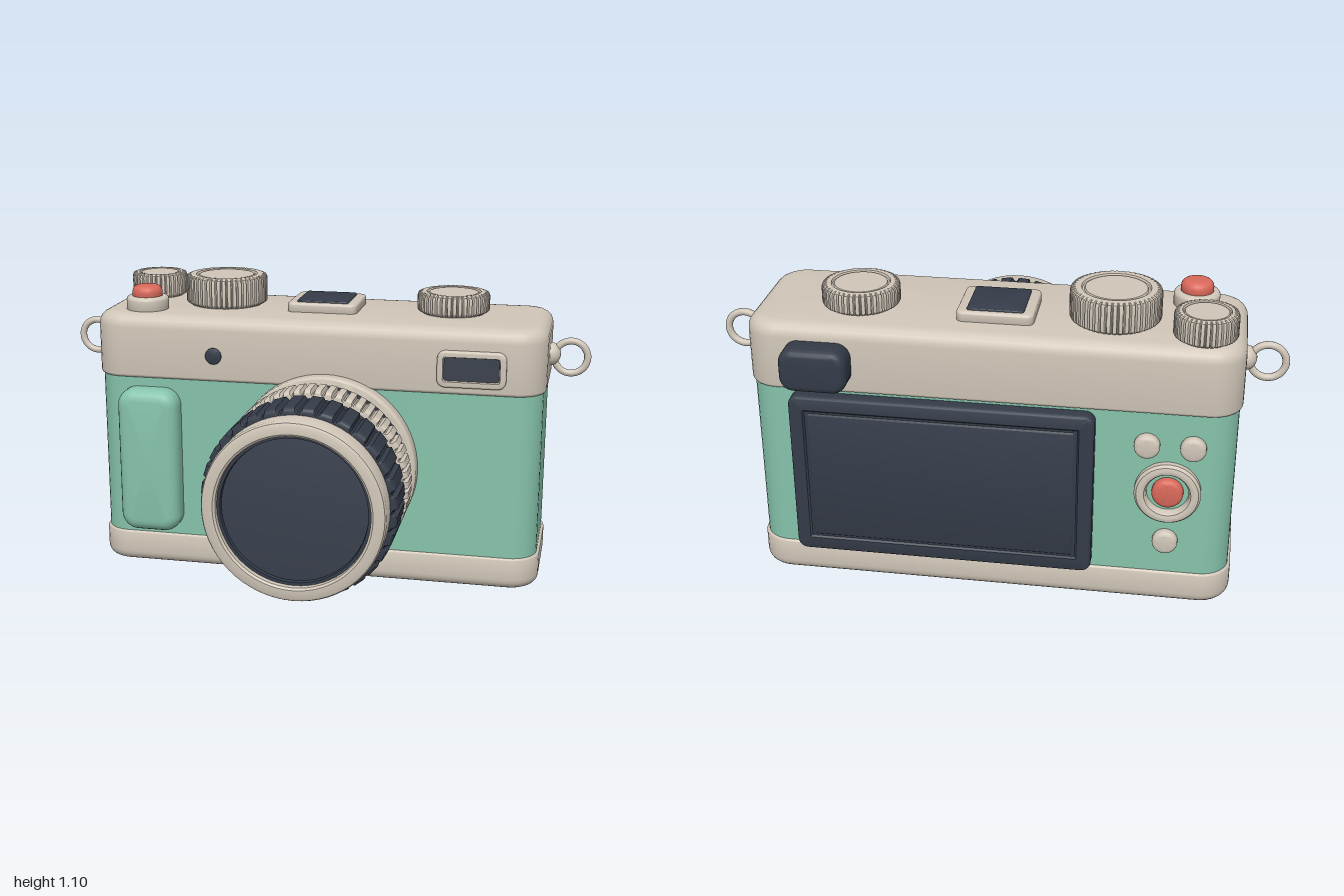
import * as THREE from 'three';
import { toCreasedNormals } from 'three/addons/utils/BufferGeometryUtils.js';

const material = (name, color) => {
  const m = new THREE.MeshStandardMaterial({ color });
  m.name = name;
  return m;
};

// Rounded rectangle outline, shrunk by inset
const roundedRect = (w, d, r) => (inset) => {
  const pts = [], rr = Math.max(r - inset, 0.004);
  const cx = w / 2 - inset - rr, cz = d / 2 - inset - rr;
  [[1, 1], [-1, 1], [-1, -1], [1, -1]].forEach(([sx, sz], q) => {
    for (let i = 0; i <= 8; i++) {
      const a = (q + i / 8) * Math.PI / 2;
      pts.push([sx * cx + rr * Math.cos(a), sz * cz + rr * Math.sin(a)]);
    }
  });
  return pts;
};

// Knurled circle outline; the grooves fade out away from the rim
const knurl = (r, n, depth) => (inset) => {
  const pts = [], dep = depth * Math.max(0, 1 - inset / 0.03);
  for (let i = 0; i < n; i++) {
    for (const [t, g] of [[0, 1], [0.12, 1], [0.26, 0], [0.86, 0]]) {
      const a = (i + t) / n * Math.PI * 2, q = r - inset - g * dep;
      pts.push([q * Math.cos(a), q * Math.sin(a)]);
    }
  }
  return pts;
};

// Stacks an outline along y following [inset, height] steps and caps both ends
function loft(outline, profile, crease = 0.6) {
  const pos = [], idx = [];
  const rings = profile.map(([inset]) => outline(inset));
  const n = rings[0].length;
  rings.forEach((ring, k) => ring.forEach(([x, z]) => pos.push(x, profile[k][1], z)));
  for (let k = 0; k < rings.length - 1; k++) {
    for (let j = 0; j < n; j++) {
      const a = k * n + j, b = k * n + (j + 1) % n;
      idx.push(a, a + n, b, a + n, b + n, b);
    }
  }
  const last = (rings.length - 1) * n, c0 = rings.length * n;
  pos.push(0, profile[0][1], 0, 0, profile[profile.length - 1][1], 0);
  for (let j = 0; j < n; j++) {
    const k = (j + 1) % n;
    idx.push(c0, j, k, c0 + 1, last + k, last + j);
  }
  const g = new THREE.BufferGeometry();
  g.setAttribute('position', new THREE.Float32BufferAttribute(pos, 3));
  g.setIndex(idx);
  return toCreasedNormals(g, crease);
}

// Profile with rounded lower (b0) and upper (b1) edges
function soft(h, b0, b1) {
  const p = [], steps = 5;
  for (let i = 0; i <= steps; i++) {
    const a = i / steps * Math.PI / 2;
    p.push([b0 * (1 - Math.sin(a)), b0 * (1 - Math.cos(a))]);
  }
  for (let i = 0; i <= steps; i++) {
    const a = i / steps * Math.PI / 2;
    p.push([b1 * (1 - Math.cos(a)), h - b1 * (1 - Math.sin(a))]);
  }
  return p;
}

const lathe = (pts, seg = 64) =>
  toCreasedNormals(new THREE.LatheGeometry(pts.map(([x, y]) => new THREE.Vector2(x, y)), seg), 0.6);

// Solid disc with rounded upper edge
const disc = (r, h, b) => lathe([[0, 0], ...soft(h, 0.002, b).map(([i, y]) => [r - i, y]), [0, h]]);

export function createModel() {
  const model = new THREE.Group();
  const silver = material('warm silver', 0xd0c6b8);
  const green = material('mint leather', 0x86c3ab);
  const dark = material('dark rubber', 0x353c49);
  const glass = material('dark glass', 0x3a414e);
  const red = material('coral red', 0xd9685b);

  const add = (name, geo, mat, x, y, z, face = 'up') => {
    const m = new THREE.Mesh(geo, mat);
    m.name = name;
    m.position.set(x, y, z);
    m.rotation.x = { up: 0, front: Math.PI / 2, back: -Math.PI / 2 }[face];
    model.add(m);
    return m;
  };

  // Body shell
  const midZ = -0.235;
  add('bottomPlate', loft(roundedRect(1.7, 0.53, 0.11), soft(0.125, 0.04, 0.012)), silver, 0, 0, midZ);
  add('leatherBody', loft(roundedRect(1.68, 0.512, 0.1), [[0, 0], [0, 0.66]]), green, 0, 0.105, midZ);
  add('topPlate', loft(roundedRect(1.7, 0.53, 0.11), soft(0.242, 0.012, 0.05)), silver, 0, 0.744, midZ);
  add('grip', loft(roundedRect(0.235, 0.56, 0.065), soft(0.1, 0.005, 0.045)), green, -0.627, 0.43, 0, 'front');

  // Lens
  const lx = 0.05, ly = 0.448;
  const lensPart = (name, geo, mat, z) => add(name, geo, mat, lx, ly, z, 'front');
  lensPart('lensMount', disc(0.347, 0.08, 0.012), silver, 0);
  lensPart('lensBarrel', disc(0.318, 0.46, 0.005), dark, 0.05);
  lensPart('apertureRing', loft(knurl(0.347, 56, 0.014), soft(0.113, 0.016, 0.016), 0.45), silver, 0.153);
  lensPart('focusRing', loft(knurl(0.347, 32, 0.016), soft(0.183, 0.018, 0.018), 0.45), dark, 0.32);
  lensPart('lensFrontRim', lathe([
    [0.29, 0], [0.322, 0], [0.322, 0.075], [0.317, 0.085], [0.307, 0.09],
    [0.278, 0.09], [0.27, 0.084], [0.268, 0.02]]), silver, 0.5);
  lensPart('lensInnerRing', lathe([[0.269, 0.0], [0.269, 0.065], [0.258, 0.065], [0.254, 0.02]]), dark, 0.5);
  lensPart('lensGlass', lathe([[0.256, 0], [0.256, 0.05], [0.17, 0.058], [0.08, 0.062], [0, 0.063]]), glass, 0.5);

  // Top dials with a grooved cap
  const dial = (name, x, z, r, h, n) => add(name, loft(knurl(r, n, 0.01), [
    [0.02, 0], [0.003, 0.01], [0, 0.016], [0, h - 0.014], [0.004, h - 0.004], [0.014, h],
    [r * 0.25, h], [r * 0.27, h - 0.008], [r * 0.31, h - 0.008], [r * 0.33, h - 0.002]], 0.45),
  silver, x, 0.985, z);
  dial('cornerDial', -0.71, -0.383, 0.108, 0.095, 36);
  dial('modeDial', -0.403, -0.275, 0.157, 0.115, 48);
  dial('rewindDial', 0.48, -0.275, 0.136, 0.08, 42);

  // Shutter button
  add('shutterCollar', disc(0.08, 0.052, 0.014), silver, -0.67, 0.984, -0.105);
  add('shutterButton', disc(0.057, 0.045, 0.025), red, -0.67, 1.031, -0.105);

  // Accessory shoe
  add('shoeFrame', loft(roundedRect(0.265, 0.24, 0.025), soft(0.038, 0.003, 0.01)), silver, -0.003, 0.983, -0.265);
  add('shoePlate', loft(roundedRect(0.197, 0.2, 0.012), soft(0.018, 0.002, 0.005)), dark, -0.003, 1.01, -0.265);

  // Front viewfinder window and sensor
  add('viewfinderFrame', loft(roundedRect(0.25, 0.135, 0.03), [
    ...soft(0.037, 0.002, 0.008), [0.022, 0.037], [0.024, 0.022]]), silver, 0.585, 0.84, 0.01, 'front');
  add('viewfinderWindow', loft(roundedRect(0.2, 0.086, 0.012), [[0, 0], [0, 0.008]]), glass, 0.585, 0.84, 0.03, 'front');
  add('frontSensor', disc(0.031, 0.016, 0.006), dark, -0.376, 0.842, 0.022, 'front');

  // Rear screen and eyepiece
  add('screen', loft(roundedRect(1.055, 0.612, 0.035), [
    ...soft(0.06, 0.003, 0.014), [0.05, 0.06], [0.056, 0.053], [0.064, 0.053], [0.07, 0.058]]),
  dark, 0.163, 0.43, -0.481, 'back');
  add('eyepiece', loft(roundedRect(0.232, 0.155, 0.05), soft(0.1, 0.003, 0.025)), dark, 0.585, 0.852, -0.488, 'back');

  // Rear controls
  for (const [x, y] of [[-0.54, 0.625], [-0.695, 0.625], [-0.617, 0.255]]) {
    add('rearButton', disc(0.044, 0.036, 0.016), silver, x, y, -0.486, 'back');
  }
  add('controlRing', lathe([
    [0.114, 0], [0.114, 0.022], [0.106, 0.033], [0.092, 0.037], [0.08, 0.033], [0.073, 0.022], [0.072, 0]]),
  silver, -0.617, 0.45, -0.489, 'back');
  add('controlButton', disc(0.054, 0.036, 0.018), red, -0.617, 0.45, -0.486, 'back');

  // Strap lugs
  for (const s of [-1, 1]) {
    const post = add('strapLug', new THREE.SphereGeometry(0.043, 24, 16), silver, s * 0.852, 0.852, midZ);
    post.scale.x = 0.85;
    add('strapRing', new THREE.TorusGeometry(0.061, 0.013, 12, 40), silver, s * 0.926, 0.842, midZ);
  }
  return model;
}
